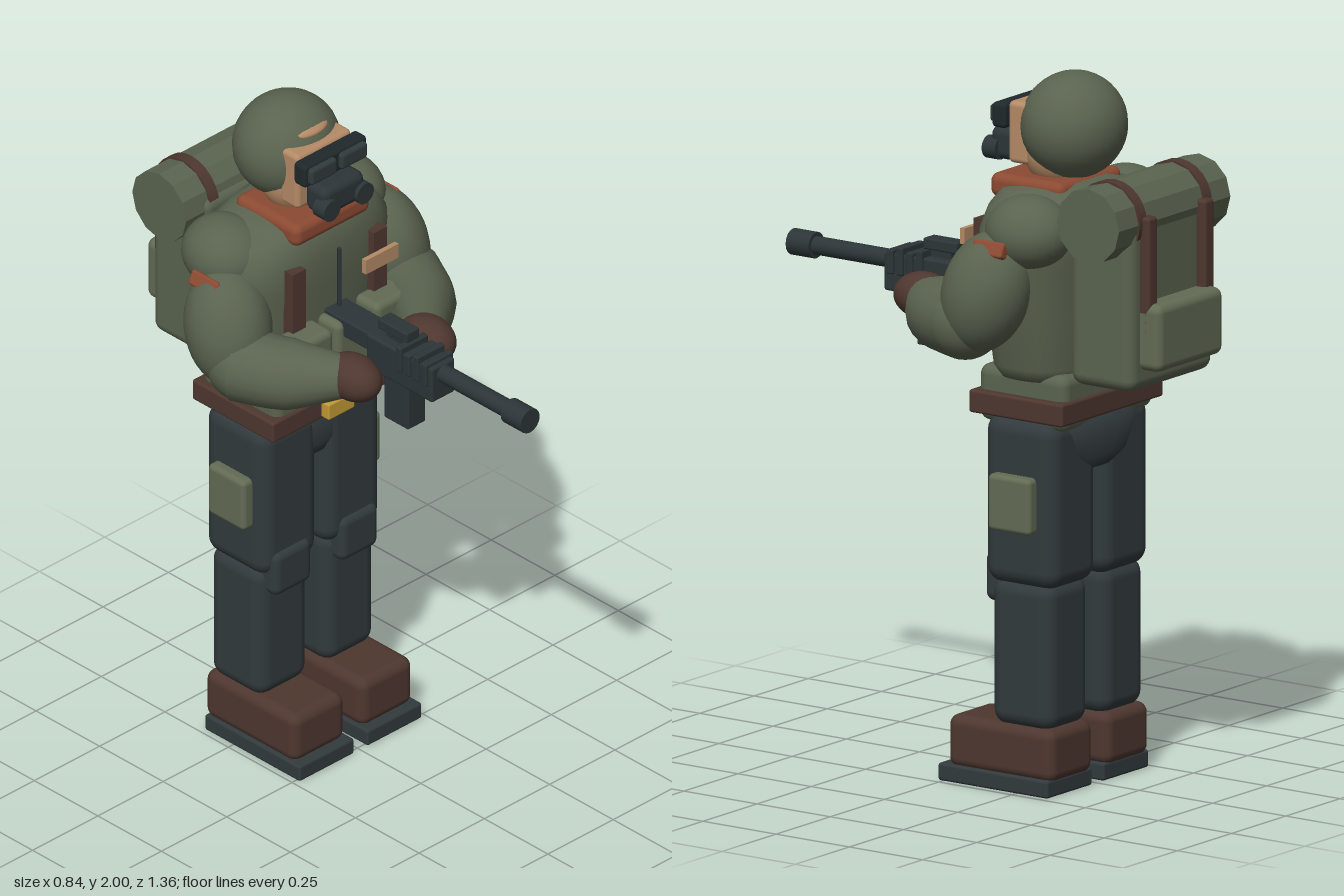
import * as THREE from 'three';
import { RoundedBoxGeometry } from 'three/addons/geometries/RoundedBoxGeometry.js';

const mat = (name, color) => new THREE.MeshStandardMaterial({ name, color });

// Lofts rounded-square cross-sections [y, halfWidth, frontZ, backZ] into a closed body.
function loft(sections, power = 0.75, n = 32) {
  const pos = [], index = [];
  for (const [y, hw, zf, zb] of sections) {
    for (let j = 0; j < n; j++) {
      const a = (j / n) * Math.PI * 2, c = Math.cos(a), s = Math.sin(a);
      pos.push(hw * Math.sign(c) * Math.abs(c) ** power, y,
        (zf + zb) / 2 + ((zf - zb) / 2) * Math.sign(s) * Math.abs(s) ** power);
    }
  }
  const rows = sections.length;
  for (let i = 0; i < rows - 1; i++) {
    for (let j = 0; j < n; j++) {
      const a = i * n + j, b = i * n + ((j + 1) % n), c = a + n, d = b + n;
      index.push(a, c, b, b, c, d);
    }
  }
  const first = sections[0], last = sections[rows - 1];
  pos.push(0, first[0], (first[2] + first[3]) / 2, 0, last[0], (last[2] + last[3]) / 2);
  for (let j = 0; j < n; j++) {
    const k = (j + 1) % n, top = (rows - 1) * n;
    index.push(rows * n, j, k, rows * n + 1, top + k, top + j);
  }
  const g = new THREE.BufferGeometry();
  g.setAttribute('position', new THREE.Float32BufferAttribute(pos, 3));
  g.setIndex(index);
  g.computeVertexNormals();
  return g;
}

// Tube whose radius follows a list of values along the path.
function taperedTube(points, radii) {
  const curve = new THREE.CatmullRomCurve3(points.map(p => new THREE.Vector3(...p)));
  const seg = 24, rad = 20;
  const g = new THREE.TubeGeometry(curve, seg, 1, rad);
  const p = g.attributes.position, v = new THREE.Vector3();
  for (let i = 0; i <= seg; i++) {
    const centre = curve.getPointAt(i / seg);
    const t = (i / seg) * (radii.length - 1), k = Math.min(Math.floor(t), radii.length - 2);
    const r = THREE.MathUtils.lerp(radii[k], radii[k + 1], t - k);
    for (let j = 0; j <= rad; j++) {
      const id = i * (rad + 1) + j;
      v.fromBufferAttribute(p, id).sub(centre).multiplyScalar(r).add(centre);
      p.setXYZ(id, v.x, v.y, v.z);
    }
  }
  return g;
}

export function createModel() {
  const root = new THREE.Group();
  const green = mat('olive cloth', 0x5a634f);
  const pale = mat('pouch green', 0x626b54);
  const dark = mat('trouser slate', 0x323a3d);
  const gun = mat('gunmetal', 0x2c3538);
  const black = mat('goggle frame', 0x20282b);
  const brown = mat('brown leather', 0x4e372f);
  const red = mat('rust cloth', 0x8c4a32);
  const skin = mat('skin', 0xb58a66);
  const gold = mat('brass', 0xc39b35);

  const add = (name, geo, material) => {
    const m = new THREE.Mesh(geo, material);
    m.name = name;
    root.add(m);
    return m;
  };
  // Boxes are given by their extents on each axis; r rounds the edges.
  const box = (name, material, x0, x1, y0, y1, z0, z1, r = 0) => {
    const w = x1 - x0, h = y1 - y0, d = z1 - z0;
    const m = add(name, r ? new RoundedBoxGeometry(w, h, d, 3, r) : new THREE.BoxGeometry(w, h, d), material);
    m.position.set((x0 + x1) / 2, (y0 + y1) / 2, (z0 + z1) / 2);
    return m;
  };
  const pair = (name, material, x0, x1, ...rest) => [
    box('left' + name, material, x0, x1, ...rest),
    box('right' + name, material, -x1, -x0, ...rest)];
  const ball = (name, material, x, y, z, rx, ry, rz) => {
    const m = add(name, new THREE.SphereGeometry(1, 32, 20), material);
    m.scale.set(rx, ry, rz);
    m.position.set(x, y, z);
    return m;
  };
  const rod = (name, material, r, z0, z1, y, sides = 16) => {
    const m = add(name, new THREE.CylinderGeometry(r, r, z1 - z0, sides), material);
    m.rotation.x = Math.PI / 2;
    m.position.set(0, y, (z0 + z1) / 2);
    return m;
  };

  // Legs and boots
  pair('Sole', dark, 0.025, 0.235, 0, 0.05, -0.36, 0.015, 0.008);
  pair('Boot', brown, 0.03, 0.23, 0.04, 0.19, -0.37, -0.01, 0.03);
  pair('Shin', dark, 0.03, 0.225, 0.18, 0.6, -0.36, -0.15, 0.045);
  pair('Thigh', dark, 0.01, 0.232, 0.58, 1.06, -0.375, -0.13, 0.05);
  pair('KneePad', dark, 0.055, 0.2, 0.52, 0.66, -0.2, -0.115, 0.025);
  pair('ThighPocket', pale, 0.215, 0.265, 0.74, 0.9, -0.32, -0.175, 0.015);
  add('pelvis', loft([[0.9, 0.08, -0.15, -0.37], [0.94, 0.12, -0.135, -0.4], [1.06, 0.2, -0.13, -0.4]], 0.5), dark);

  // Jacket, belt and shoulders
  box('jacketHem', green, -0.21, 0.21, 1.03, 1.19, -0.4, -0.1, 0.03);
  box('belt', brown, -0.235, 0.235, 1.055, 1.12, -0.41, -0.09, 0.008);
  box('buckle', gold, -0.05, 0.05, 1.062, 1.112, -0.1, -0.06, 0.005);
  add('torso', loft([
    [1.165, 0.22, -0.12, -0.39], [1.2, 0.24, -0.105, -0.4], [1.35, 0.26, -0.09, -0.41],
    [1.5, 0.29, -0.08, -0.42], [1.58, 0.29, -0.08, -0.425], [1.64, 0.25, -0.09, -0.42],
    [1.68, 0.19, -0.11, -0.39], [1.705, 0.11, -0.15, -0.35]]), green);

  // Arms
  for (const s of [1, -1]) {
    const side = s > 0 ? 'left' : 'right';
    ball(side + 'Shoulder', green, s * 0.225, 1.59, -0.29, 0.115, 0.105, 0.125);
    const upper = ball(side + 'UpperArm', green, s * 0.3, 1.425, -0.2, 0.12, 0.175, 0.125);
    upper.rotation.set(-0.25, 0, s * 0.12);
    ball(side + 'Elbow', green, s * 0.305, 1.335, -0.13, 0.105, 0.11, 0.11);
    add(side + 'Forearm', taperedTube(
      [[s * 0.315, 1.335, -0.14], [s * 0.265, 1.33, -0.03], [s * 0.15, 1.33, 0.11]],
      [0.108, 0.1, 0.06]), green);
    ball(side + 'Glove', brown, s * 0.142, 1.335, 0.13, 0.068, 0.066, 0.092);
    box(side + 'ShoulderPatch', red, s * 0.342 - 0.016, s * 0.342 + 0.016, 1.535, 1.58, -0.295, -0.19, 0.008)
      .rotation.z = s * 0.45;
  }

  // Chest gear
  pair('ChestStrap', brown, 0.13, 0.18, 1.36, 1.59, -0.105, -0.068);
  pair('ChestPouch', pale, 0.08, 0.22, 1.22, 1.4, -0.1, -0.005, 0.02);
  box('middlePouch', pale, -0.065, 0.065, 1.22, 1.4, -0.1, -0.01, 0.02);
  box('nameTape', skin, 0.055, 0.18, 1.51, 1.555, -0.037, -0.022);
  add('antenna', new THREE.CylinderGeometry(0.006, 0.006, 0.25, 8), gun).position.set(0, 1.475, -0.07);

  // Head, goggles and mask
  box('scarf', red, -0.145, 0.145, 1.645, 1.715, -0.34, -0.09, 0.025);
  ball('head', skin, 0, 1.78, -0.235, 0.115, 0.115, 0.1);
  box('face', skin, -0.105, 0.105, 1.74, 1.915, -0.2, -0.127, 0.015);
  ball('brow', skin, 0, 1.935, -0.2, 0.07, 0.02, 0.045);
  ball('helmet', green, 0, 1.85, -0.278, 0.155, 0.15, 0.145);
  box('goggleFrame', black, -0.12, 0.12, 1.837, 1.908, -0.13, -0.082, 0.012);
  pair('GoggleLens', dark, 0.008, 0.108, 1.848, 1.898, -0.1, -0.067, 0.01);
  box('mask', gun, -0.08, 0.08, 1.735, 1.828, -0.13, -0.045, 0.025);
  for (const s of [1, -1]) {
    const f = add((s > 0 ? 'left' : 'right') + 'MaskFilter', new THREE.CylinderGeometry(0.032, 0.032, 0.045, 20), gun);
    f.rotation.x = Math.PI / 2;
    f.position.set(s * 0.064, 1.765, -0.055);
  }

  // Rifle
  rod('barrel', gun, 0.026, 0.3, 0.62, 1.38);
  rod('muzzle', gun, 0.037, 0.602, 0.68, 1.38);
  box('receiver', gun, -0.045, 0.045, 1.3, 1.41, 0.08, 0.34, 0.008);
  box('stock', gun, -0.042, 0.042, 1.355, 1.412, -0.09, 0.14, 0.006);
  for (let i = 0; i < 4; i++) {
    const z = 0.215 + i * 0.033;
    box('handguardRib', gun, -0.053, 0.053, 1.35, i % 2 ? 1.42 : 1.43, z - 0.011, z + 0.011, 0.005);
  }
  box('sightMount', gun, -0.014, 0.014, 1.4, 1.44, 0.13, 0.2);
  box('sight', gun, -0.025, 0.025, 1.43, 1.462, 0.105, 0.22, 0.005);
  box('magazine', gun, -0.034, 0.034, 1.16, 1.32, 0.14, 0.235, 0.005);

  // Backpack, bedroll and their straps
  box('backpack', green, -0.195, 0.195, 1.17, 1.68, -0.615, -0.4, 0.035);
  box('backpackPocket', pale, -0.152, 0.152, 1.23, 1.42, -0.68, -0.59, 0.025);
  const rollGeo = new THREE.CylinderGeometry(0.106, 0.106, 0.514, 12).toNonIndexed();
  rollGeo.computeVertexNormals();
  const roll = add('bedroll', rollGeo, green);
  roll.rotation.z = Math.PI / 2;
  roll.position.set(0, 1.645, -0.515);
  for (const s of [1, -1]) {
    const band = add((s > 0 ? 'left' : 'right') + 'RollStrap', new THREE.CylinderGeometry(0.11, 0.11, 0.034, 24), brown);
    band.rotation.z = Math.PI / 2;
    band.position.set(s * 0.15, 1.645, -0.515);
  }
  pair('PackStrap', brown, 0.108, 0.152, 1.32, 1.665, -0.645, -0.6, 0.01);

  return root;
}
